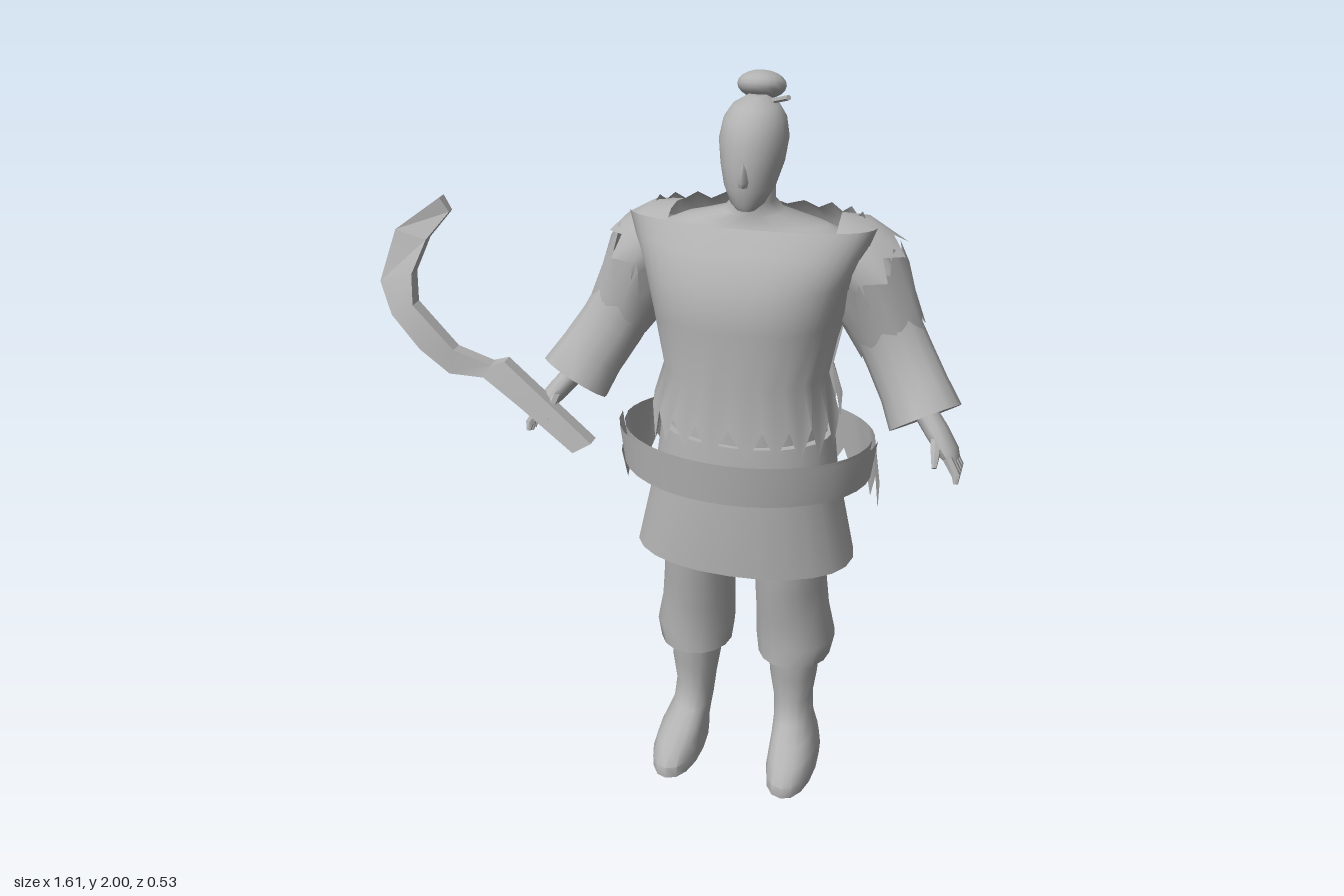
import * as THREE from 'three';
import { toCreasedNormals } from 'three/addons/utils/BufferGeometryUtils.js';

const V = (x, y, z) => new THREE.Vector3(x, y, z);
const TAU = Math.PI * 2, DEG = Math.PI / 180;

export function createModel() {
  const grey = new THREE.MeshStandardMaterial({ color: 0xb2b2b2, side: THREE.DoubleSide });
  grey.name = 'plain grey';
  let seed = 7;
  const rand = () => (seed = (seed * 16807) % 2147483647) / 2147483647;

  // Skin a surface over rings of points
  function loft(name, rings, { closed = true, caps = true, crease = 0.9 } = {}) {
    const n = rings[0].length, pos = [], idx = [];
    rings.forEach(r => r.forEach(p => pos.push(p.x, p.y, p.z)));
    const m = closed ? n : n - 1;
    for (let j = 0; j < rings.length - 1; j++)
      for (let i = 0; i < m; i++) {
        const a = j * n + i, b = j * n + (i + 1) % n;
        idx.push(a, b, b + n, a, b + n, a + n);
      }
    if (closed && caps) [0, rings.length - 1].forEach(j => {
      const c = rings[j].reduce((s, p) => s.add(p), V(0, 0, 0)).divideScalar(n);
      const k = pos.length / 3;
      pos.push(c.x, c.y, c.z);
      for (let i = 0; i < n; i++) {
        const a = j * n + i, b = j * n + (i + 1) % n;
        j ? idx.push(k, a, b) : idx.push(k, b, a);
      }
    });
    const g = new THREE.BufferGeometry();
    g.setAttribute('position', new THREE.Float32BufferAttribute(pos, 3));
    g.setIndex(idx);
    const mesh = new THREE.Mesh(toCreasedNormals(g, crease), grey);
    mesh.name = name;
    return mesh;
  }

  // Elliptic ring; jag pushes every other point along t for a torn edge
  function ring(c, u, v, t, ru, rv, n, from, to, full, jag = 0) {
    const pts = [], closed = to - from >= 359;
    const pw = x => Math.sign(x) * Math.abs(x) ** full;
    for (let i = 0; i < (closed ? n : n + 1); i++) {
      const a = (from + (to - from) * i / n) * DEG;
      const p = c.clone().addScaledVector(u, ru * pw(Math.sin(a))).addScaledVector(v, rv * pw(Math.cos(a)));
      if (jag) p.addScaledVector(t, i % 2 ? jag * (0.65 + 0.35 * rand()) : 0);
      pts.push(p);
    }
    return pts;
  }

  // Upright body: rows are [y, x, z, rx, rz, jag], from the bottom up
  function upright(name, rows, { n = 20, from = 0, to = 360, full = 1, caps = true } = {}) {
    const rings = rows.map(([y, x, z, rx, rz, jag]) =>
      ring(V(x, y, z), V(1, 0, 0), V(0, 0, 1), V(0, 1, 0), rx, rz, n, from, to, full, jag));
    return loft(name, rings, { closed: to - from >= 359, caps });
  }

  // Limb along a path: rows are [x, y, z, width, depth, jag]
  function limb(name, rows, { n = 14, caps = true } = {}) {
    const c = rows.map(r => V(r[0], r[1], r[2]));
    const rings = rows.map((r, i) => {
      const t = c[Math.min(i + 1, c.length - 1)].clone().sub(c[Math.max(i - 1, 0)]).normalize();
      const u = t.clone().cross(V(0, 0, 1)).normalize();
      return ring(c[i], u, u.clone().cross(t), t, r[3], r[4], n, 0, 360, 1, r[5]);
    });
    return loft(name, rings, { caps });
  }

  const model = new THREE.Group();
  const body = new THREE.Group();
  body.name = 'figure';
  body.position.x = 0.21;
  model.add(body);

  // Torso and neck
  body.add(upright('torso', [
    [1.0, 0, 0, 0.23, 0.17], [1.2, 0, 0.01, 0.2, 0.15], [1.4, 0, 0, 0.25, 0.16],
    [1.52, 0, -0.03, 0.3, 0.13], [1.59, 0, -0.03, 0.28, 0.11], [1.63, 0, -0.03, 0.19, 0.085],
    [1.66, 0, -0.02, 0.08, 0.07], [1.69, 0, -0.01, 0.056, 0.062], [1.77, 0, 0, 0.055, 0.06]]));

  // Head, nose, bun and hairpin
  body.add(upright('head', [
    [1.685, 0, 0.07, 0.025, 0.03], [1.7, 0, 0.06, 0.043, 0.047], [1.74, 0, 0.035, 0.065, 0.08],
    [1.79, 0, 0.012, 0.079, 0.106], [1.85, 0, 0.002, 0.087, 0.107], [1.9, 0, -0.003, 0.078, 0.095],
    [1.93, 0, -0.01, 0.058, 0.07], [1.95, 0, -0.015, 0.025, 0.03]]));
  body.add(upright('nose', [[1.75, 0, 0.1, 0.014, 0.022], [1.765, 0, 0.105, 0.016, 0.026],
    [1.82, 0, 0.1, 0.008, 0.012]], { n: 8 }));
  const bun = new THREE.Mesh(new THREE.SphereGeometry(1, 16, 10), grey);
  bun.name = 'hairBun';
  bun.scale.set(0.063, 0.036, 0.063);
  bun.position.set(0, 1.965, -0.07);
  bun.rotation.x = -0.25;
  body.add(bun);
  body.add(limb('hairpin', [[-0.095, 1.88, -0.14, 0.007, 0.007], [0.09, 1.96, 0.03, 0.007, 0.007]], { n: 6 }));

  // Torn tunic panels at front and back
  body.add(upright('frontTunic', [
    [1.14, 0, 0, 0.255, 0.225, -0.1], [1.25, 0, 0, 0.222, 0.21], [1.4, 0, 0, 0.25, 0.222],
    [1.51, 0, 0, 0.275, 0.215], [1.59, 0, 0, 0.305, 0.16], [1.645, 0, 0, 0.325, 0.115]],
    { n: 20, from: -84, to: 84, full: 0.85 }));
  body.add(upright('backTunic', [
    [1.17, 0, 0, 0.25, 0.19, -0.1], [1.25, 0, 0, 0.222, 0.175], [1.42, 0, -0.01, 0.255, 0.195],
    [1.53, 0, -0.02, 0.285, 0.19], [1.6, 0, -0.03, 0.305, 0.16], [1.64, 0, -0.04, 0.28, 0.105, 0.02]],
    { n: 18, from: 98, to: 262, full: 0.85 }));

  // Skirt, belt and torn back flap
  body.add(upright('skirt', [[0.69, 0, -0.005, 0.305, 0.195], [0.94, 0, 0, 0.25, 0.19],
    [1.07, 0, 0, 0.235, 0.18]], { n: 24, full: 0.92 }));
  const belt = [[0.945, 0, 0, 0.34, 0.262], [1.055, 0, 0, 0.355, 0.272]];
  body.add(upright('beltFront', belt, { n: 18, from: -90, to: 90 }));
  body.add(upright('beltInside', belt.map(([y, x, z, a, b]) => [y, x, z, a - 0.015, b - 0.015]),
    { n: 18, from: -90, to: 90 }));
  body.add(upright('tornBackFlap', [[0.925, 0, 0, 0.365, 0.262, -0.1], [1.05, 0, 0, 0.345, 0.25]],
    { n: 22, from: 93, to: 267 }));

  // Everything on one side, then mirrored
  for (const s of [1, -1]) {
    const side = new THREE.Group();
    side.name = s > 0 ? 'leftLimbs' : 'rightLimbs';
    side.scale.x = s;
    body.add(side);

    side.add(upright('trouserLeg', [
      [0.335, 0.145, -0.035, 0.08, 0.09], [0.35, 0.145, -0.035, 0.103, 0.118], [0.41, 0.147, -0.035, 0.113, 0.117],
      [0.5, 0.138, -0.025, 0.104, 0.112], [0.6, 0.132, -0.012, 0.1, 0.122], [0.75, 0.13, -0.01, 0.1, 0.132]],
      { n: 16 }));
    side.add(upright('boot', [
      [0, 0.17, 0.045, 0.068, 0.172], [0.035, 0.17, 0.044, 0.07, 0.174], [0.07, 0.167, 0.028, 0.066, 0.15],
      [0.1, 0.16, 0, 0.06, 0.118], [0.135, 0.152, -0.028, 0.055, 0.085], [0.2, 0.147, -0.04, 0.056, 0.075],
      [0.28, 0.146, -0.038, 0.068, 0.082], [0.37, 0.145, -0.035, 0.074, 0.085]], { n: 16, full: 0.9 }));

    // Sleeve, flaring at the cuff
    side.add(limb('sleeve', [
      [0.2, 1.55, -0.04, 0.075, 0.085], [0.27, 1.5, -0.045, 0.092, 0.09], [0.33, 1.41, -0.045, 0.09, 0.078],
      [0.39, 1.3, -0.03, 0.09, 0.074], [0.44, 1.22, 0.005, 0.092, 0.075], [0.478, 1.155, 0.035, 0.1, 0.083],
      [0.468, 1.17, 0.027, 0.08, 0.065]]));

    // Torn shoulder guard and torn upper sleeve
    side.add(limb('shoulderGuard', [
      [0.2, 1.56, -0.06, 0.09, 0.12], [0.25, 1.55, -0.065, 0.1, 0.135], [0.29, 1.52, -0.07, 0.105, 0.14, 0.06]],
      { n: 16, caps: false }));
    side.add(limb('tornSleeve', [
      [0.355, 1.36, -0.05, 0.095, 0.085, -0.05], [0.33, 1.41, -0.05, 0.105, 0.095],
      [0.29, 1.48, -0.055, 0.125, 0.125, 0.07]], { n: 16, caps: false }));

    // Hand with curled fingers and thumb
    side.add(limb('palm', [
      [0.47, 1.18, 0.03, 0.03, 0.035], [0.515, 1.13, 0.06, 0.03, 0.042], [0.55, 1.09, 0.085, 0.026, 0.046],
      [0.563, 1.07, 0.09, 0.018, 0.04]], { n: 10 }));
    for (let i = 0; i < 4; i++) {
      const z = 0.06 + i * 0.022, d = Math.abs(i - 1.5) * 0.008;
      side.add(limb('finger', [
        [0.552, 1.09, z, 0.013, 0.012], [0.578, 1.05, z + 0.01, 0.012, 0.011],
        [0.578, 1.018 + d, z + 0.02, 0.006, 0.006]], { n: 6 }));
    }
    side.add(limb('thumb', [
      [0.515, 1.13, 0.085, 0.015, 0.015], [0.52, 1.1, 0.125, 0.013, 0.013], [0.522, 1.07, 0.15, 0.007, 0.007]], { n: 6 }));
  }

  // Sickle: rows are outer x, y, inner x, y, z and half thickness
  const blade = [
    [-0.235, 0.99, -0.185, 1.02, 0.14, 0.03], [-0.39, 1.1, -0.29, 1.1, 0.125, 0.028],
    [-0.5, 1.165, -0.44, 1.215, 0.105, 0.027], [-0.6, 1.165, -0.48, 1.2, 0.105, 0.026],
    [-0.68, 1.23, -0.585, 1.235, 0.11, 0.028], [-0.765, 1.315, -0.705, 1.345, 0.09, 0.03],
    [-0.81, 1.395, -0.72, 1.42, 0.055, 0.028], [-0.785, 1.525, -0.7, 1.5, -0.005, 0.024],
    [-0.685, 1.6, -0.66, 1.56, -0.075, 0.016]];
  model.add(loft('sickle', blade.map(([a, b, c, d, z, h]) =>
    [V(a, b, z - h), V(a, b, z + h), V(c, d, z + h * 0.7), V(c, d, z - h * 0.7)]), { crease: 0.3 }));

  return model;
}
